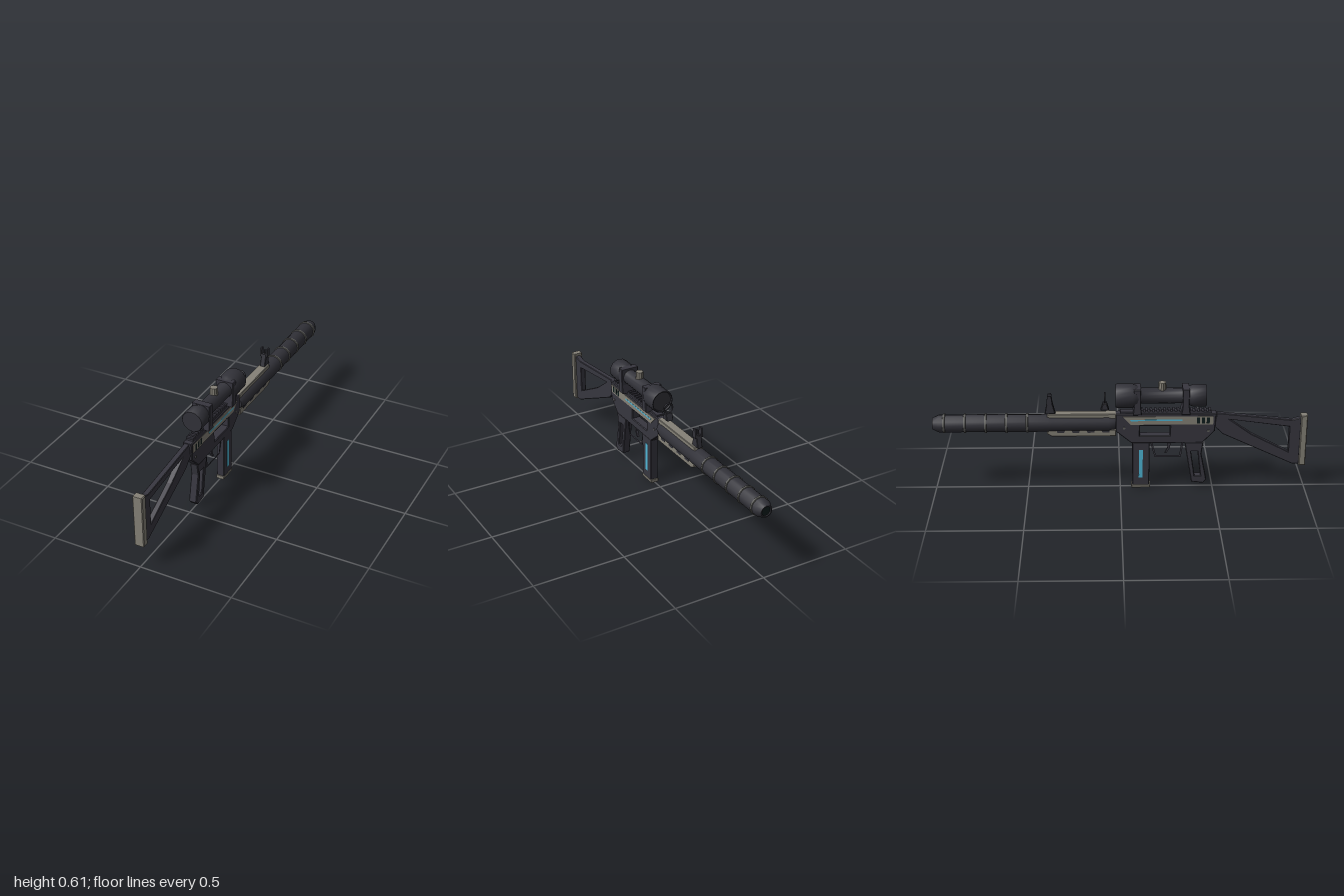
import * as THREE from 'three';
import { toCreasedNormals } from 'three/addons/utils/BufferGeometryUtils.js';

const mat = (name, color) => Object.assign(new THREE.MeshStandardMaterial({ color }), { name });

export function createModel() {
  const root = new THREE.Group();
  root.name = 'rifle';
  const body = mat('charcoal body', 0x37363f);
  const metal = mat('dark metal', 0x323239);
  const tan = mat('warm grey trim', 0x858177);
  const ringGrey = mat('ring grey', 0x62625f);
  const cyan = mat('cyan accent', 0x4fb8d8);
  const voidMat = mat('dark recess', 0x0d1c1c);

  const add = (name, geo, material) => {
    const m = new THREE.Mesh(geo, material);
    m.name = name;
    root.add(m);
    return m;
  };
  // Box from its ranges in x, y and z
  const box = (name, material, x0, x1, y0, y1, z0, z1) =>
    add(name, new THREE.BoxGeometry(x1 - x0, y1 - y0, z1 - z0)
      .translate((x0 + x1) / 2, (y0 + y1) / 2, (z0 + z1) / 2), material);
  // Side profile of [z, y] points, extruded across x
  const profile = (name, material, pts, width, { holes = [], bevel = 0, x = 0 } = {}) => {
    const v = (list) => list.map(([z, y]) => new THREE.Vector2(z, y));
    const shape = new THREE.Shape(v(pts));
    shape.holes = holes.map((h) => new THREE.Path(v(h)));
    const depth = width - 2 * bevel;
    const geo = new THREE.ExtrudeGeometry(shape, {
      depth, bevelEnabled: bevel > 0, bevelThickness: bevel, bevelSize: bevel,
      bevelOffset: -bevel, bevelSegments: 1,
    });
    geo.translate(0, 0, -depth / 2).rotateY(-Math.PI / 2).translate(x, 0, 0);
    return add(name, geo, material);
  };
  // Turned part along z from [radius, z] points, z rising
  const turned = (name, material, pts, y, sides) => {
    const geo = new THREE.LatheGeometry(pts.map(([r, z]) => new THREE.Vector2(r, z)), sides);
    return add(name, toCreasedNormals(geo.rotateX(Math.PI / 2), 0.85).translate(0, y, 0), material);
  };

  // Stock and butt plate
  profile('stock', body,
    [[0.967, 0.406], [0.92, 0.392], [0.515, 0.435], [0.5, 0.36], [0.55, 0.312], [0.93, 0.134], [0.967, 0.134]],
    0.03, { holes: [[[0.906, 0.353], [0.58, 0.398], [0.7, 0.313], [0.906, 0.205]]], bevel: 0.003 });
  profile('buttPlate', tan, [[1, 0.13], [1, 0.42], [0.965, 0.42], [0.965, 0.13]], 0.054, { bevel: 0.004 });

  // Receiver with open window
  profile('receiver', body,
    [[0.512, 0.437], [-0.024, 0.437], [-0.024, 0.335], [0.06, 0.266], [0.44, 0.266], [0.505, 0.335]],
    0.05, { holes: [[[0.265, 0.365], [0.105, 0.365], [0.105, 0.31], [0.265, 0.31]]], bevel: 0.004 });

  // Top rail with teeth
  box('rail', body, -0.02, 0.02, 0.435, 0.447, 0.0, 0.485);
  for (let i = 0; i < 17; i++) {
    const z = 0.085 + i * 0.024;
    box('railTooth', body, -0.02, 0.02, 0.445, 0.456, z, z + 0.013);
  }

  // Painted side panels, slots, stripes and pins
  for (const s of [-1, 1]) {
    profile('sidePanel', tan, [[0.495, 0.422], [0.012, 0.422], [0.055, 0.376], [0.495, 0.376]], 0.005, { x: s * 0.0255 });
    for (let i = 0; i < 3; i++) {
      const z = 0.408 + i * 0.026;
      profile('sideSlot', voidMat, [[z, 0.382], [z, 0.416], [z + 0.016, 0.416], [z + 0.016, 0.382]], 0.003, { x: s * 0.0275 });
    }
    profile('sideStripe', cyan, [[0.33, 0.397], [0.33, 0.405], [0.05, 0.405], [0.058, 0.397]], 0.003, { x: s * 0.0275 });
    profile('magazineStripe', cyan, [[0.121, 0.06], [0.121, 0.225], [0.1, 0.225], [0.1, 0.06]], 0.003, { x: s * 0.0225 });
    for (const [z, y] of [[0.47, 0.337], [0.02, 0.355]]) {
      const pin = new THREE.CylinderGeometry(0.007, 0.007, 0.004, 10).rotateZ(Math.PI / 2);
      add('pin', pin.translate(s * 0.026, y, z), ringGrey);
    }
  }

  // Magazine
  profile('magazine', body, [[0.157, 0.015], [0.157, 0.268], [0.065, 0.268], [0.065, 0.015]], 0.044, { bevel: 0.003 });
  profile('magazineBase', tan, [[0.162, 0], [0.162, 0.019], [0.06, 0.019], [0.06, 0]], 0.047, { bevel: 0.003 });

  // Grip with slanted slot
  profile('grip', body,
    [[0.447, 0.268], [0.345, 0.268], [0.352, 0.222], [0.385, 0.032], [0.45, 0.024], [0.468, 0.045], [0.437, 0.2]],
    0.044, { holes: [[[0.416, 0.214], [0.381, 0.214], [0.403, 0.068], [0.434, 0.068]]], bevel: 0.004 });

  // Trigger guard and trigger
  profile('triggerGuard', body,
    [[0.34, 0.268], [0.327, 0.178], [0.185, 0.178], [0.16, 0.268]], 0.02,
    { holes: [[[0.328, 0.262], [0.318, 0.188], [0.192, 0.188], [0.172, 0.262]]] });
  profile('trigger', body,
    [[0.272, 0.266], [0.25, 0.266], [0.254, 0.23], [0.24, 0.2], [0.248, 0.197], [0.267, 0.23]], 0.012);

  // Barrel, rings and muzzle
  const barrelY = 0.379;
  turned('barrel', metal,
    [[0, -0.97], [0.024, -0.97], [0.026, -1], [0.032, -1], [0.048, -0.965], [0.048, -0.38], [0.046, -0.37],
      [0.046, -0.06], [0.036, -0.022], [0, -0.022]], barrelY, 12);
  turned('muzzleBore', voidMat, [[0, -0.994], [0.025, -0.994], [0.025, -0.985], [0, -0.985]], barrelY, 12);
  for (let i = 0; i < 5; i++) {
    const z = -0.938 + i * 0.1105;
    turned('barrelRing', ringGrey,
      [[0.046, z - 0.007], [0.0525, z - 0.005], [0.0525, z + 0.005], [0.046, z + 0.007]], barrelY, 12);
  }

  // Handguard strips above and below the barrel
  profile('upperHandguard', tan, [[-0.022, 0.437], [-0.385, 0.437], [-0.395, 0.41], [-0.022, 0.41]], 0.05, { bevel: 0.003 });
  profile('lowerHandguard', tan,
    [[-0.022, 0.31], [-0.365, 0.31], [-0.39, 0.325], [-0.39, 0.348], [-0.022, 0.348]], 0.056, { bevel: 0.003 });
  for (let i = 0; i < 4; i++) {
    const z = -0.1 - i * 0.08;
    for (const s of [-1, 1]) {
      profile('handguardNotch', metal, [[z, 0.345], [z + 0.045, 0.345], [z + 0.04, 0.332], [z + 0.005, 0.332]],
        0.004, { x: s * 0.0275 });
    }
  }

  // Front sight: tapered post between two ears
  profile('frontSightPost', metal, [[-0.345, 0.435], [-0.402, 0.435], [-0.388, 0.505], [-0.362, 0.505]], 0.03, { bevel: 0.003 });
  box('frontSightBlade', metal, -0.003, 0.003, 0.5, 0.53, -0.38, -0.37);
  for (const s of [-1, 1]) {
    profile('frontSightEar', metal, [[-0.36, 0.49], [-0.392, 0.49], [-0.386, 0.54], [-0.366, 0.54]], 0.008, { x: s * 0.018 });
  }
  box('frontSightBridge', metal, -0.022, 0.022, 0.49, 0.5, -0.39, -0.362);

  // Rear sight: foot and peep ring
  profile('rearSightFoot', metal, [[-0.06, 0.456], [-0.104, 0.456], [-0.092, 0.495], [-0.072, 0.495]], 0.04, { bevel: 0.003 });
  add('rearSightRing', new THREE.TorusGeometry(0.026, 0.005, 6, 16).translate(0, 0.522, -0.082), metal);

  // Scope
  const scopeY = 0.532;
  turned('scope', metal,
    [[0, -0.016], [0.054, -0.016], [0.056, -0.025], [0.061, -0.025], [0.064, -0.018], [0.064, 0.066], [0.058, 0.085],
      [0.042, 0.112], [0.041, 0.345], [0.055, 0.375], [0.059, 0.385], [0.059, 0.452], [0.056, 0.456], [0, 0.456]],
    scopeY, 16);
  for (const z of [0.09, 0.347]) {
    profile('scopeMount', body,
      [[z + 0.018, 0.583], [z - 0.018, 0.583], [z - 0.018, 0.49], [z - 0.024, 0.44], [z + 0.024, 0.44], [z + 0.018, 0.49]],
      0.102, { bevel: 0.003 });
  }
  add('scopeTurret', toCreasedNormals(
    new THREE.CylinderGeometry(0.02, 0.022, 0.05, 10).translate(0, 0.584, 0.222), 0.4), tan);

  return root;
}
